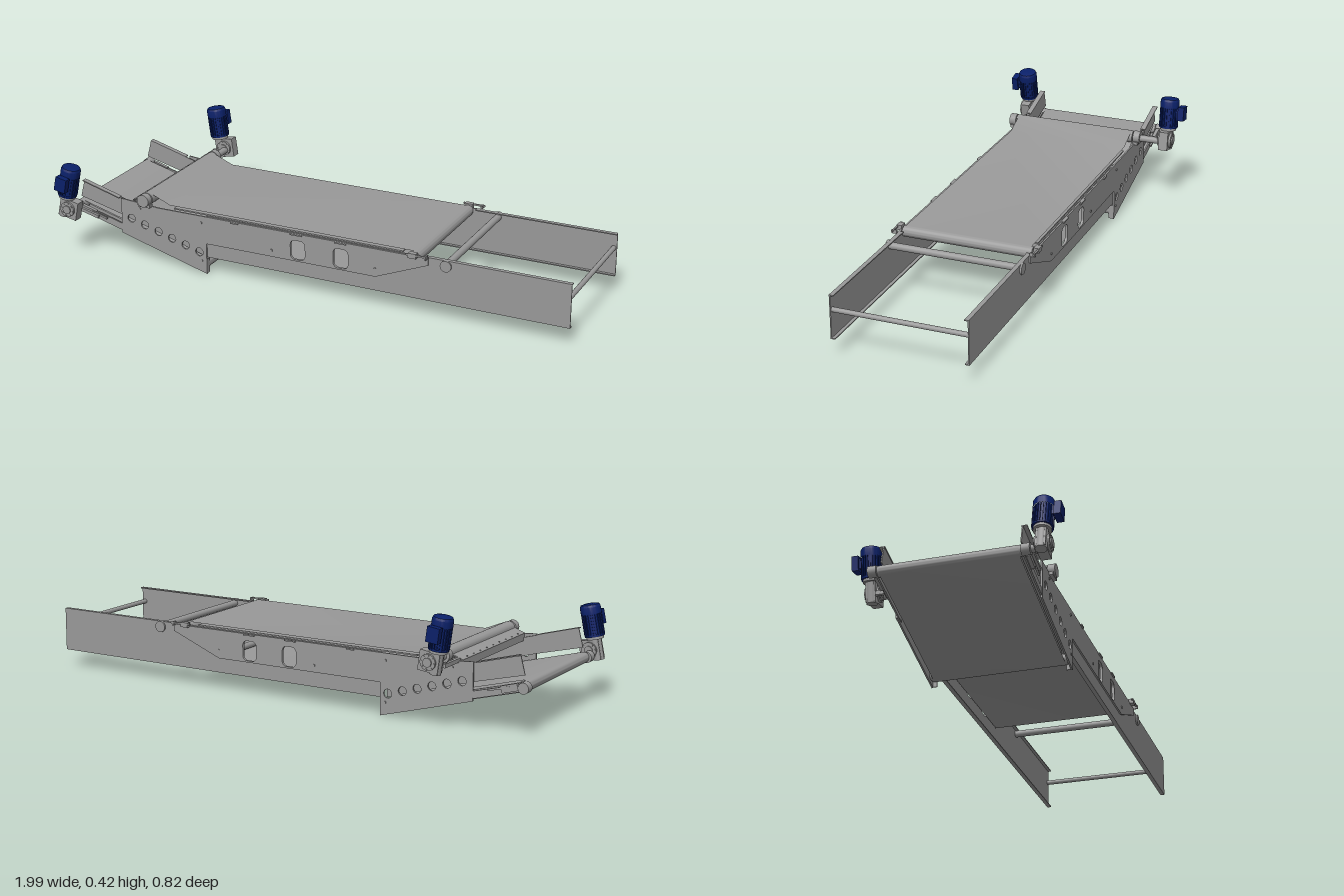
import * as THREE from 'three';
import { toCreasedNormals } from 'three/addons/utils/BufferGeometryUtils.js';

const STEEL = 0x999999;
const grey = new THREE.MeshStandardMaterial({ color: STEEL });
const thin = new THREE.MeshStandardMaterial({ color: STEEL, side: THREE.DoubleSide });
const blue = new THREE.MeshStandardMaterial({ color: 0x0a2069 });
const MID = 0.03, HALF = 0.255; // frame centre and half width along z

function add(parent, name, geo, x = 0, y = 0, z = 0, mat = grey) {
  const m = new THREE.Mesh(geo, mat);
  m.name = name;
  m.position.set(x, y, z);
  parent.add(m);
  return m;
}
const box = (p, n, w, h, d, x, y, z, mat) => add(p, n, new THREE.BoxGeometry(w, h, d), x, y, z, mat);
const rod = (p, n, r, len, x, y, z, mat, seg = 20) =>
  add(p, n, new THREE.CylinderGeometry(r, r, len, seg).rotateX(Math.PI / 2), x, y, z, mat);
const post = (p, n, r, len, x, y, z, mat, seg = 24) =>
  add(p, n, new THREE.CylinderGeometry(r, r, len, seg), x, y, z, mat);

// Flat plate in the xy plane, thickness t, centred on z
function plate(p, name, pts, t, z, holes = []) {
  const s = new THREE.Shape(pts.map(q => new THREE.Vector2(...q)));
  s.holes.push(...holes);
  return add(p, name, new THREE.ExtrudeGeometry(s, { depth: t, bevelEnabled: false, curveSegments: 10 }), 0, 0, z - t / 2);
}

function roundHole(x, y, r) {
  const h = new THREE.Path();
  h.absarc(x, y, r, 0, Math.PI * 2, true);
  return h;
}

// Window with rounded corners
function windowHole(x, y, w, h, r) {
  const p = new THREE.Path();
  [[1, 1, 0], [-1, 1, 1], [-1, -1, 2], [1, -1, 3]].forEach(([sx, sy, q]) =>
    p.absarc(x + sx * (w / 2 - r), y + sy * (h / 2 - r), r, q * Math.PI / 2, (q + 1) * Math.PI / 2));
  p.closePath();
  return p;
}

function arc(cx, cy, r, a0, a1, n = 12) {
  return Array.from({ length: n + 1 }, (_, i) => {
    const a = THREE.MathUtils.degToRad(a0 + (a1 - a0) * i / n);
    return [cx + r * Math.cos(a), cy + r * Math.sin(a)];
  });
}

// Closed belt ribbon following a loop of xy points
function belt(p, name, loop, half) {
  const v = [];
  loop.forEach(([ax, ay], i) => {
    const [bx, by] = loop[(i + 1) % loop.length];
    v.push(ax, ay, -half, ax, ay, half, bx, by, half, ax, ay, -half, bx, by, half, bx, by, -half);
  });
  const g = new THREE.BufferGeometry();
  g.setAttribute('position', new THREE.Float32BufferAttribute(v, 3));
  add(p, name, toCreasedNormals(g, 0.6), 0, 0, 0, thin);
}

// Straight bar between two xy points
function bar(p, name, a, b, h, d, z) {
  const m = box(p, name, Math.hypot(b[0] - a[0], b[1] - a[1]), h, d, (a[0] + b[0]) / 2, (a[1] + b[1]) / 2, z);
  m.rotation.z = Math.atan2(b[1] - a[1], b[0] - a[0]);
}

// Worm gear motor: origin on the output shaft, s = outward z direction
function gearMotor(name, s) {
  const g = new THREE.Group();
  g.name = name;
  box(g, 'gearHousing', 0.076, 0.072, 0.036, 0, 0, 0);
  rod(g, 'gearCover', 0.029, 0.052, 0, 0, 0);
  rod(g, 'outputHub', 0.016, 0.062, 0, 0, 0);
  for (let i = 0; i < 8; i++) {
    const a = i * Math.PI / 4;
    rod(g, 'coverBolt', 0.003, 0.056, 0.024 * Math.cos(a), 0.024 * Math.sin(a), 0, grey, 6);
  }
  const mx = -0.022;
  post(g, 'wormHousing', 0.02, 0.08, mx, 0, 0);
  post(g, 'motorFlange', 0.031, 0.01, mx, 0.041, 0);
  post(g, 'motorBody', 0.033, 0.085, mx, 0.088, 0, blue);
  for (let i = 0; i < 24; i++) {
    const a = i * Math.PI / 12;
    const f = box(g, 'coolingFin', 0.006, 0.076, 0.002, mx + 0.034 * Math.cos(a), 0.088, 0.034 * Math.sin(a), blue);
    f.rotation.y = -a;
  }
  const cap = [[0.037, 0], [0.037, 0.026], [0.033, 0.034], [0.02, 0.037], [0, 0.037]];
  add(g, 'fanCover', toCreasedNormals(new THREE.LatheGeometry(cap.map(q => new THREE.Vector2(...q)), 28), 0.5), mx, 0.127, 0, blue);
  post(g, 'motorFoot', 0.036, 0.008, mx, 0.05, 0, blue);
  box(g, 'terminalNeck', 0.03, 0.036, 0.012, mx, 0.108, s * 0.037, blue);
  box(g, 'terminalBox', 0.046, 0.054, 0.024, mx, 0.108, s * 0.052, blue);
  return g;
}

export function createModel() {
  const model = new THREE.Group();
  const c = new THREE.Group();
  c.name = 'conveyor';
  c.position.z = MID;
  model.add(c);

  const windows = () => [-0.025, 0.145].map(x => windowHole(x, 0.163, 0.058, 0.074, 0.018));
  const portHoles = [0, 1, 2, 3, 4, 5].map(i => roundHole(-0.718 + i * 0.0575, 0.165 - i * 0.0165, 0.016));

  for (const s of [-1, 1]) {
    const z = s * HALF;
    // Long channel rail
    plate(c, 'sideRail', [[-0.4, 0.065], [1, 0.065], [1, 0.228], [-0.4, 0.228]], 0.004, z - s * 0.008, windows());
    box(c, 'railBottomFlange', 1.4, 0.004, 0.016, 0.3, 0.067, z - s * 0.014);
    box(c, 'railTopFlange', 0.54, 0.004, 0.016, 0.73, 0.226, z - s * 0.014);
    // Outer cheek plate joining both belts
    plate(c, 'cheekPlate', [[-0.76, 0.1], [-0.4, 0], [-0.4, 0.12], [0.28, 0.12], [0.48, 0.2], [0.48, 0.226],
      [-0.6, 0.226], [-0.76, 0.238]], 0.006, z - s * 0.003, [...windows(), ...portHoles]);
    box(c, 'cheekEndFlange', 0.004, 0.055, 0.02, -0.402, 0.029, z - s * 0.011);
    // Inner guard along the inclined belt
    plate(c, 'sideGuard', [[-0.945, 0.212], [-0.76, 0.166], [-0.42, 0.066], [-0.42, 0.14], [-0.77, 0.237], [-0.927, 0.281]],
      0.004, z - s * 0.016);
    bar(c, 'guardFlange', [-0.927, 0.28], [-0.77, 0.237], 0.004, 0.02, z - s * 0.01);
    // Arms, bearing and tensioner of the inclined belt's upper roller
    bar(c, 'rollerArm', [-0.96, 0.176], [-0.72, 0.112], 0.026, 0.006, z - s * 0.005);
    rod(c, 'lowerBearing', 0.02, 0.03, -0.955, 0.175, z + s * 0.006);
    bar(c, 'tensionBracket', [-0.93, 0.175], [-0.87, 0.158], 0.026, 0.014, z + s * 0.004);
    bar(c, 'tensionScrew', [-0.9, 0.172], [-0.82, 0.15], 0.007, 0.007, z + s * 0.008);
    rod(c, 'bottomBearing', 0.016, 0.012, -0.425, 0.034, z - s * 0.008);
    // Upper drive bearing
    rod(c, 'driveBearing', 0.024, 0.026, -0.655, 0.25, z + s * 0.006);
    box(c, 'driveBearingFoot', 0.05, 0.012, 0.022, -0.655, 0.23, z + s * 0.002);
    // Tail roller tensioner
    box(c, 'tailBlock', 0.03, 0.018, 0.02, 0.425, 0.231, z + s * 0.005);
    bar(c, 'tailScrew', [0.4, 0.234], [0.485, 0.234], 0.006, 0.006, z + s * 0.012);
    box(c, 'tailScrewStop', 0.006, 0.014, 0.02, 0.475, 0.231, z + s * 0.006);
    rod(c, 'crossTubeBoss', 0.021, 0.008, 0.545, 0.208, z - s * 0.004);
    for (const [x, w] of [[-0.28, 0.03], [-0.03, 0.045], [0.145, 0.045]])
      box(c, 'edgeClip', w, 0.005, 0.01, x, 0.223, z + s * 0.001);
    for (const [x, y] of [[-0.68, 0.21], [-0.42, 0.2], [-0.13, 0.145], [0.28, 0.15], [-0.42, 0.05]])
      rod(c, 'plateBolt', 0.005, 0.004, x, y, z + s * 0.001, grey, 6);
  }

  // Cross tubes of the open end
  rod(c, 'crossTube', 0.013, 0.498, 0.545, 0.21, 0);
  rod(c, 'endTube', 0.009, 0.498, 0.988, 0.17, 0);

  // Upper belt: bed, rollers and loop
  belt(c, 'upperBelt', [...arc(0.427, 0.217, 0.021, -63, 90), [-0.56, 0.238], ...arc(-0.652, 0.25, 0.024, 70, 230),
    [-0.55, 0.17], [-0.38, 0.122], [0.27, 0.122]], 0.238);
  box(c, 'slideBed', 0.92, 0.005, 0.486, -0.08, 0.23, 0);
  rod(c, 'tailRoller', 0.02, 0.49, 0.427, 0.217, 0);
  rod(c, 'driveRoller', 0.023, 0.49, -0.652, 0.25, 0);
  rod(c, 'driveShaft', 0.01, 0.54, -0.655, 0.25, 0);
  rod(c, 'returnRoller', 0.012, 0.48, 0.27, 0.135, 0);
  rod(c, 'returnRoller', 0.012, 0.48, -0.38, 0.135, 0);

  // Transfer strip with its row of bolts
  bar(c, 'transferStrip', [-0.715, 0.235], [-0.675, 0.25], 0.004, 0.49, 0);
  box(c, 'stripSupport', 0.005, 0.026, 0.49, -0.712, 0.222, 0);
  for (let i = 0; i < 9; i++) post(c, 'stripBolt', 0.0025, 0.004, -0.708, 0.24, -0.2 + i * 0.05, grey, 6);

  // Inclined lower belt
  belt(c, 'lowerBelt', [...arc(-0.42, 0.034, 0.02, -105, 75), ...arc(-0.948, 0.176, 0.02, 75, 255)], 0.238);
  rod(c, 'lowerHeadRoller', 0.019, 0.49, -0.948, 0.176, 0);
  rod(c, 'lowerTailRoller', 0.019, 0.49, -0.42, 0.034, 0);
  bar(c, 'lowerBed', [-0.92, 0.17], [-0.45, 0.043], 0.02, 0.46, 0);

  // Gear motors and their shafts
  const upper = gearMotor('upperGearMotor', -1);
  upper.position.set(-0.662, 0.253, -0.345);
  upper.rotation.z = 0.14;
  const lower = gearMotor('lowerGearMotor', 1);
  lower.position.set(-0.945, 0.191, 0.345);
  lower.rotation.z = -0.21;
  model.add(upper, lower);
  rod(model, 'upperMotorShaft', 0.013, 0.12, -0.655, 0.247, -0.275);
  bar(model, 'upperTorqueArm', [-0.705, 0.24], [-0.66, 0.24], 0.012, 0.01, -0.315);
  box(model, 'upperMotorBeam', 0.012, 0.014, 0.11, -0.7, 0.236, -0.27);
  rod(model, 'lowerMotorShaft', 0.013, 0.06, -0.948, 0.178, 0.305);
  bar(model, 'lowerTorqueArm', [-0.93, 0.175], [-0.85, 0.155], 0.012, 0.01, 0.304);

  return model;
}
